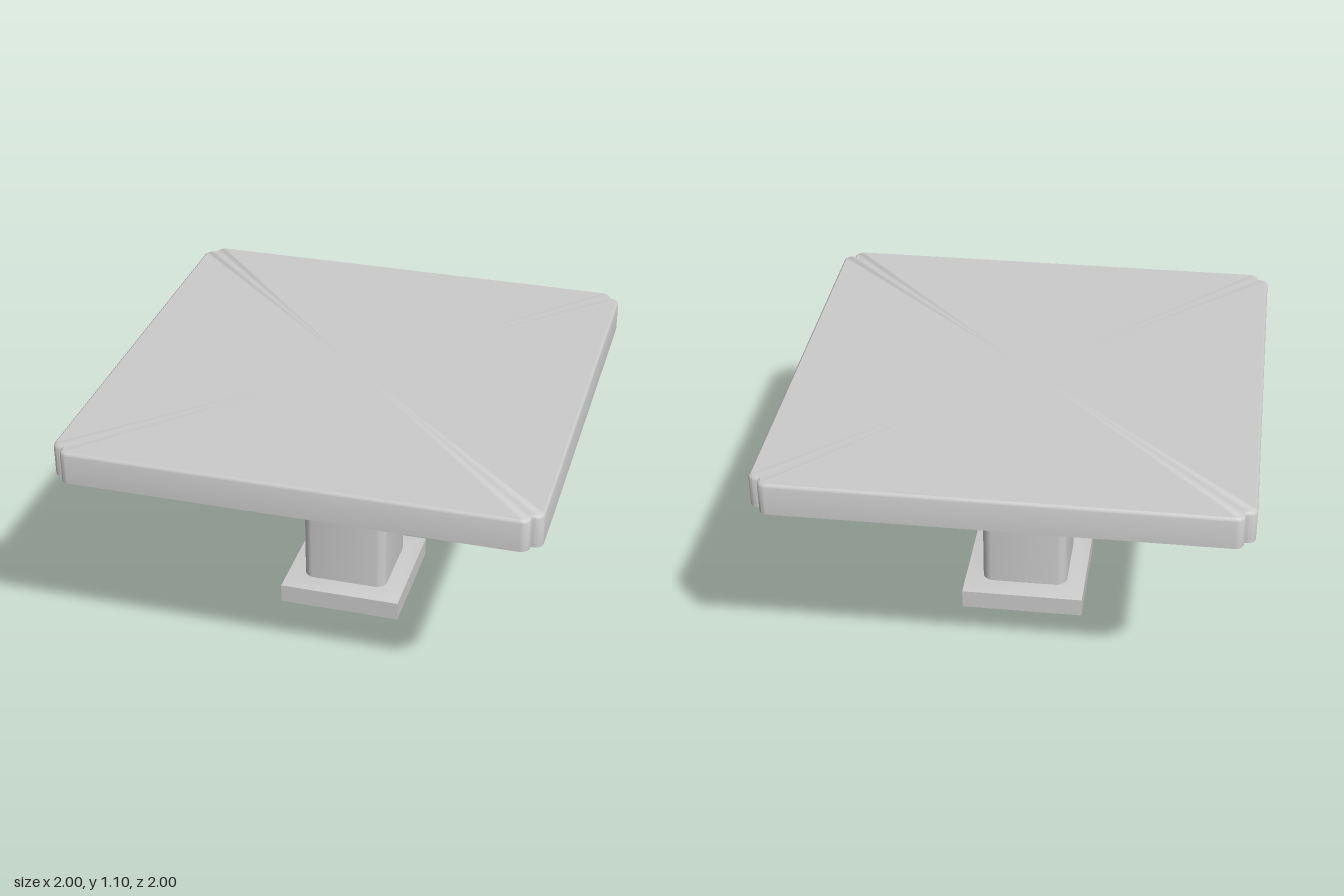
import * as THREE from 'three';
import { toCreasedNormals } from 'three/addons/utils/BufferGeometryUtils.js';

// Repeat one corner outline around the four corners
function fourCorners(corner) {
  const points = [];
  for (let k = 0; k < 4; k++) {
    for (const [u, v] of corner) {
      points.push([[u, v], [-v, u], [-u, -v], [v, -u]][k]);
    }
  }
  return points;
}

// Quarter arc from 0 to 90 degrees
function arc(cx, cy, r, steps) {
  return Array.from({ length: steps + 1 }, (_, i) => {
    const a = (i / steps) * Math.PI / 2;
    return [cx + r * Math.cos(a), cy + r * Math.sin(a)];
  });
}

// Stack scaled copies of an outline; each ring is [scale, y], scale 0 closes the end
function loft(name, outline, rings, material) {
  const pos = [];
  const n = outline.length;
  const at = (i, [s, y]) => [outline[i % n][0] * s, y, -outline[i % n][1] * s];
  for (let r = 0; r < rings.length - 1; r++) {
    const lower = rings[r], upper = rings[r + 1];
    for (let i = 0; i < n; i++) {
      const a = at(i, lower), b = at(i + 1, lower);
      const c = at(i, upper), d = at(i + 1, upper);
      if (lower[0] > 0) pos.push(...a, ...b, ...d);
      if (upper[0] > 0) pos.push(...a, ...d, ...c);
    }
  }
  const geometry = new THREE.BufferGeometry();
  geometry.setAttribute('position', new THREE.Float32BufferAttribute(pos, 3));
  const mesh = new THREE.Mesh(toCreasedNormals(geometry, 0.6), material);
  mesh.name = name;
  return mesh;
}

export function createModel() {
  const group = new THREE.Group();
  group.name = 'pedestalTable';
  const material = new THREE.MeshStandardMaterial({ color: 0xcccccc });

  // Square top with a notch between two rounded lobes at each corner
  const topOutline = fourCorners([
    ...arc(0.965, 0.92, 0.035, 8), [0.955, 0.955], ...arc(0.92, 0.965, 0.035, 8),
  ]);
  group.add(loft('tableTop', topOutline,
    [[0, 0.96], [1, 0.96], [1, 1.085], [0.997, 1.094], [0.99, 1.1], [0, 1.1]], material));

  // Square column with rounded corners
  const columnOutline = fourCorners(arc(0.14, 0.14, 0.05, 8));
  group.add(loft('column', columnOutline, [[0, 0.09], [1, 0.09], [1, 0.965], [0, 0.965]], material));

  // Square foot with a gently sloping upper face
  const footOutline = fourCorners([[0.27, 0.27]]);
  group.add(loft('foot', footOutline,
    [[0, 0], [1, 0], [1, 0.085], [0.75, 0.1], [0, 0.1]], material));

  return group;
}
